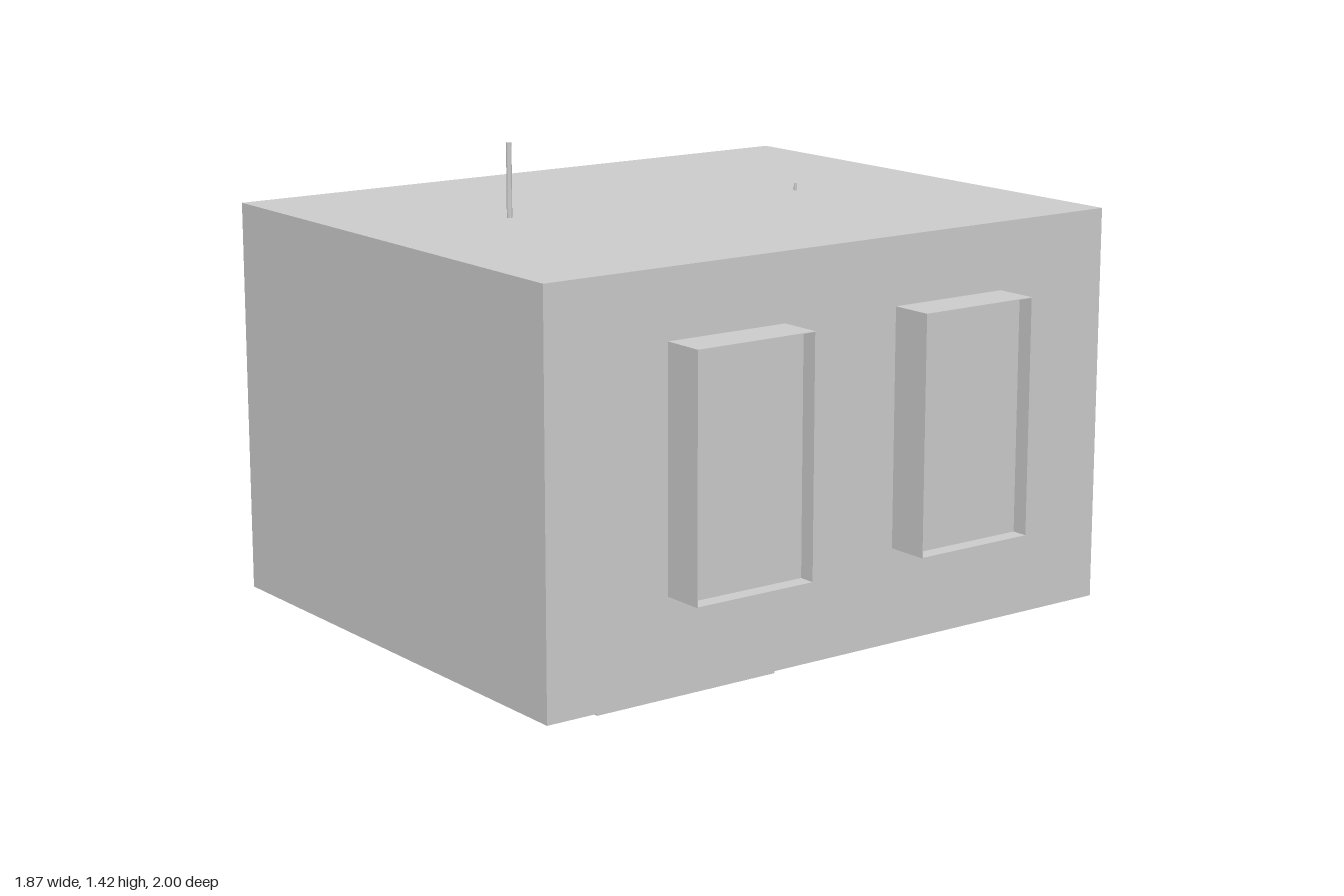
import * as THREE from 'three';

const material = new THREE.MeshStandardMaterial({ color: 0xcccccc, flatShading: true });

// Box given by its minimum and maximum corners
function box(name, [x0, y0, z0], [x1, y1, z1]) {
  const mesh = new THREE.Mesh(new THREE.BoxGeometry(x1 - x0, y1 - y0, z1 - z0), material);
  mesh.position.set((x0 + x1) / 2, (y0 + y1) / 2, (z0 + z1) / 2);
  mesh.name = name;
  return mesh;
}

function rod(name, x, z, radius, top) {
  const height = top - 1.2;
  const mesh = new THREE.Mesh(new THREE.CylinderGeometry(radius, radius, height, 12), material);
  mesh.position.set(x, 1.2 + height / 2, z);
  mesh.name = name;
  return mesh;
}

// Projecting window: thin open surround with a recessed pane
function createWindow(zMid) {
  const group = new THREE.Group();
  group.name = 'window';
  const [xIn, xOut, yLow, yHigh, t] = [0.8, 0.932, 0.295, 1.003, 0.002];
  const [z0, z1] = [zMid - 0.2, zMid + 0.2];
  group.add(
    box('windowSill', [xIn, yLow, z0], [xOut, yLow + t, z1]),
    box('windowHead', [xIn, yHigh - t, z0], [xOut, yHigh, z1]),
    box('windowBackJamb', [xIn, yLow, z0], [xOut, yHigh, z0 + t]),
    box('windowFrontJamb', [xIn, yLow, z1 - t], [xOut, yHigh, z1]),
    box('windowPane', [xIn, yLow, z0], [0.882, yHigh, z1])
  );
  return group;
}

export function createModel() {
  const model = new THREE.Group();
  model.name = 'room';

  // Room shell and entrance
  const floorY = 0.01;
  model.add(box('roomShell', [-0.8, floorY, -1], [0.8, 1.205, 1]));
  model.add(box('door', [-0.935, floorY, -0.2], [-0.8, 1.003, 0.2]));
  for (const z of [-0.4, 0.4]) model.add(createWindow(z));

  // Ceiling rods that pass through the roof
  model.add(rod('ceilingRod', -0.1, 0.505, 0.008, 1.425));
  model.add(rod('ceilingHook', 0, -0.48, 0.005, 1.228));

  // Wall pieces showing slightly through the door wall
  for (const z of [-0.61, 0.56]) {
    model.add(box('wallPanel', [-0.802, 0.45, z - 0.17], [-0.79, 0.77, z + 0.17]));
  }
  model.add(box('lightSwitch', [-0.802, 0.465, -0.345], [-0.79, 0.515, -0.31]));

  // Undersides of the furniture, standing just below the floor
  model.add(box('bedBase', [0.53, 0, 0.22], [0.79, 0.02, 0.83]));
  for (const x of [0.29, 0.585]) {
    for (const z of [-0.825, -0.42]) {
      model.add(box('tableLeg', [x - 0.008, 0.004, z - 0.008], [x + 0.008, 0.02, z + 0.008]));
    }
  }
  for (const z of [0.42, 0.74]) {
    model.add(box('benchFoot', [-0.6, 0.002, z - 0.01], [-0.43, 0.02, z + 0.01]));
  }
  const seatBase = box('seatBase', [-0.23, 0, -0.84], [0.02, 0.02, -0.54]);
  seatBase.rotation.y = -THREE.MathUtils.degToRad(17);
  model.add(seatBase);

  return model;
}
